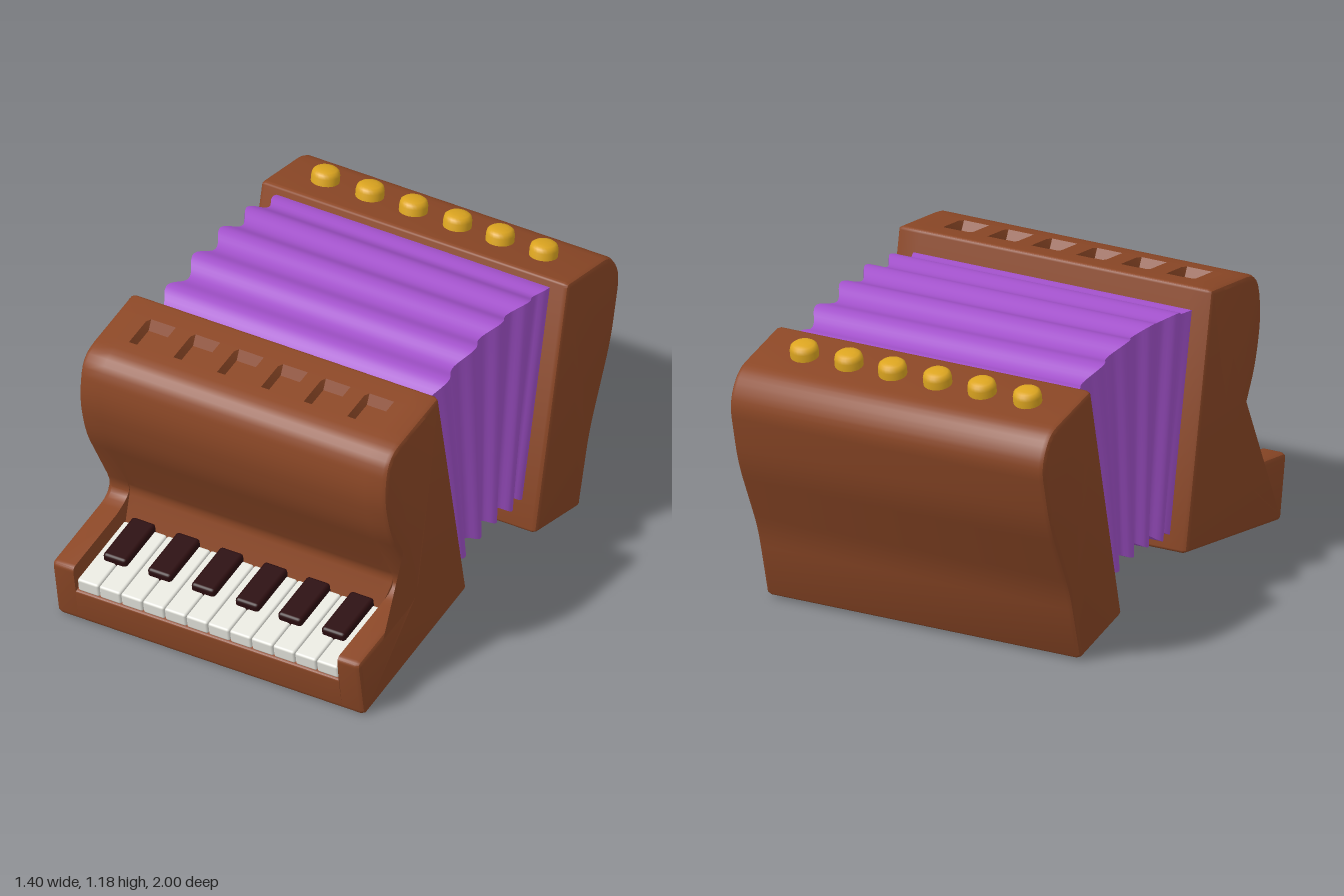
import * as THREE from 'three';
import { toCreasedNormals } from 'three/addons/utils/BufferGeometryUtils.js';
import { RoundedBoxGeometry } from 'three/addons/geometries/RoundedBoxGeometry.js';

const material = (name, color) => {
  const m = new THREE.MeshStandardMaterial({ color });
  m.name = name;
  return m;
};

// Closed outline from [z, y, cut] corners; a cut above zero rounds the corner.
function outline(corners, steps = 5) {
  const pts = [];
  corners.forEach(([z, y, cut], i) => {
    const p = new THREE.Vector2(z, y);
    if (!cut) return pts.push(p);
    const near = (j) => {
      const [a, b] = corners[(j + corners.length) % corners.length];
      return new THREE.Vector2(a, b).sub(p).setLength(cut).add(p);
    };
    pts.push(...new THREE.QuadraticBezierCurve(near(i - 1), p, near(i + 1)).getPoints(steps));
  });
  return pts;
}

// Moves a counter-clockwise outline inwards.
function inset(pts, d) {
  const n = pts.length;
  return pts.map((p, i) => {
    const normal = (a, b) => new THREE.Vector2(a.y - b.y, b.x - a.x).normalize();
    const n1 = normal(pts[(i + n - 1) % n], p);
    const n2 = normal(p, pts[(i + 1) % n]);
    const k = d / (1 + n1.dot(n2));
    return n1.add(n2).multiplyScalar(k).add(p);
  });
}

// Skin over rings of equal point count, with optional end cap triangles.
function loft(rings, crease, caps = []) {
  const n = rings[0].length;
  const last = (rings.length - 1) * n;
  const index = [];
  for (let i = 0; i < rings.length - 1; i++) {
    for (let j = 0; j < n; j++) {
      const a = i * n + j;
      const b = i * n + ((j + 1) % n);
      index.push(a, a + n, b + n, a, b + n, b);
    }
  }
  caps.forEach(([a, b, c]) => index.push(a, b, c, last + a, last + c, last + b));
  const geo = new THREE.BufferGeometry().setFromPoints(rings.flat());
  geo.setIndex(index);
  return toCreasedNormals(geo, crease);
}

// Wooden case: outlines placed along x, with softened outer ends.
function caseGeometry(side, middle = []) {
  const end = [[0.7, 0.02], [0.693, 0.007], [0.678, 0]];
  const sections = [
    ...end.map(([x, d]) => [-x, inset(side, d)]),
    ...middle,
    ...end.reverse().map(([x, d]) => [x, inset(side, d)]),
  ];
  const rings = sections.map(([x, pts]) => pts.map((p) => new THREE.Vector3(x, p.y, p.x)));
  const caps = THREE.ShapeUtils.triangulateShape(sections[0][1].map((p) => p.clone()), []);
  return loft(rings, 0.6, caps);
}

// Front case outline, with or without the key well and a top slot.
function frontOutline(well, slotDepth) {
  const top = (z, drop = 0) => [z, 1.19 - 0.154 * (z - 0.38) - drop, 0];
  return outline([
    [0.165, 0.15, 0.02],
    [0.952, 0.008, 0.025],
    well ? [0.982, 0.165, 0.012] : [1.0, 0.28, 0.025],
    well ? [0.61, 0.232, 0] : [0.66, 0.337, 0],
    well ? [0.563, 0.407, 0.03] : [0.535, 0.357, 0.1],
    [0.75, 0.74, 0.08],
    [0.8, 0.94, 0.09],
    [0.768, 1.13, 0.09],
    top(0.63), top(0.61, slotDepth), top(0.5, slotDepth), top(0.48),
    [0.38, 1.19, 0.015],
  ]);
}

export function createModel() {
  const model = new THREE.Group();
  const wood = material('brown wood', 0x8b4726);
  const purple = material('purple bellows', 0xa352cc);
  const gold = material('gold', 0xdca520);
  const ivory = material('ivory', 0xe8e8e0);
  const ebony = material('ebony', 0x2b0d0f);
  const add = (name, geo, mat, parent = model) => {
    const mesh = new THREE.Mesh(geo, mat);
    mesh.name = name;
    parent.add(mesh);
    return mesh;
  };
  const columns = [-0.502, -0.3, -0.102, 0.098, 0.292, 0.49];

  // Front case: cheeks at both ends, key well between, slots along the top
  const cheek = frontOutline(false, 0);
  const well = frontOutline(true, 0);
  const slot = frontOutline(true, 0.04);
  add('frontCase', caseGeometry(cheek, [
    [-0.6, cheek], [-0.597, well],
    ...columns.flatMap((x) => [[x - 0.062, well], [x - 0.05, slot], [x + 0.05, slot], [x + 0.062, well]]),
    [0.597, well], [0.6, cheek],
  ]), wood);

  // Back case
  add('backCase', caseGeometry(outline([
    [-0.7, 0.02, 0.02],
    [-0.355, 0.09, 0.02],
    [-0.607, 1.13, 0.02],
    [-0.945, 1.07, 0.06],
    [-1.02, 0.95, 0.07],
    [-0.95, 0.67, 0.09],
    [-0.785, 0.33, 0.08],
  ])), wood);

  // Bellows: pleated rectangles fanning between the two cases
  const rings = [];
  const count = 60;
  for (let i = 0; i <= count; i++) {
    const t = i / count;
    const fold = Math.cos(((t - 0.17) / 0.21) * Math.PI * 2) * Math.min(1, t * 12, (1 - t) * 12);
    const arch = Math.sin(Math.PI * t);
    const x = 0.62 + 0.02 * fold;
    const top = 1.095 + 0.067 * arch + 0.014 * fold;
    const bottom = 0.215 + 0.045 * arch - 0.013 * fold;
    const zTop = THREE.MathUtils.lerp(0.38, -0.6, t);
    const zBottom = THREE.MathUtils.lerp(0.18, -0.39, t);
    rings.push([
      new THREE.Vector3(-x, bottom, zBottom), new THREE.Vector3(x, bottom, zBottom),
      new THREE.Vector3(x, top, zTop), new THREE.Vector3(-x, top, zTop),
    ]);
  }
  add('bellows', loft(rings, 0.6), purple);

  // Keyboard, tilted with the key well
  const keyboard = new THREE.Group();
  keyboard.name = 'keyboard';
  keyboard.position.set(0, 0.225, 0.797);
  keyboard.rotation.x = 0.17;
  model.add(keyboard);
  const whiteKey = new RoundedBoxGeometry(0.096, 0.06, 0.37, 2, 0.01);
  const blackKey = new RoundedBoxGeometry(0.106, 0.055, 0.24, 2, 0.014);
  for (let i = 0; i < 12; i++) {
    add('whiteKey', whiteKey, ivory, keyboard).position.x = -0.543 + i * 0.0988;
  }
  columns.forEach((x) => add('blackKey', blackKey, ebony, keyboard).position.set(x, 0.034, -0.075));

  // Round buttons on the back case
  const buttonProfile = [[0.057, -0.02], [0.057, 0.03], [0.053, 0.045], [0.043, 0.053], [0.025, 0.057], [0, 0.058]];
  const buttonGeo = toCreasedNormals(
    new THREE.LatheGeometry(buttonProfile.map(([r, y]) => new THREE.Vector2(r, y)), 24), 0.8);
  columns.forEach((x) => {
    const button = add('button', buttonGeo, gold);
    button.position.set(x, 1.101, -0.77);
    button.rotation.x = -0.17;
  });

  return model;
}
